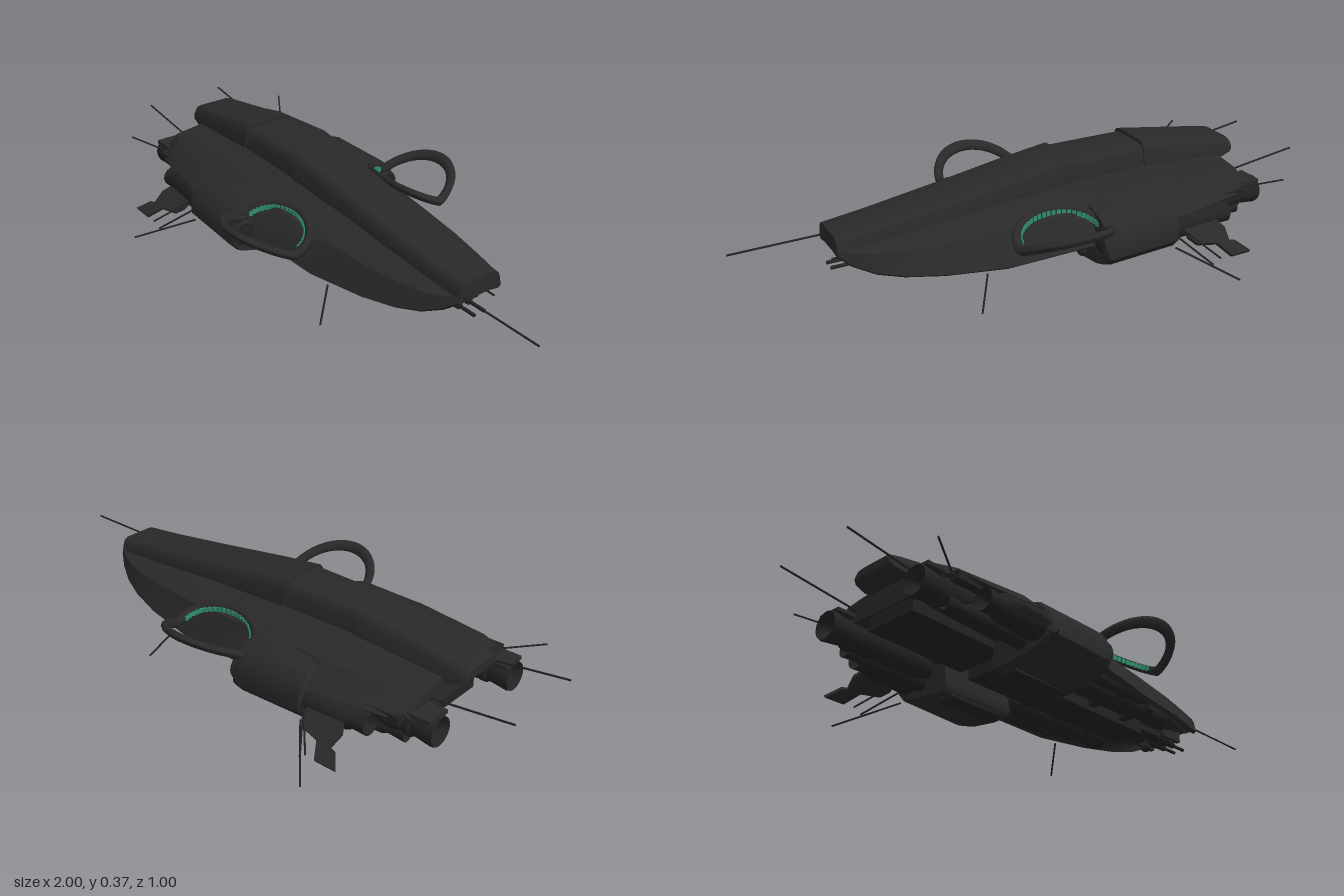
import * as THREE from 'three';
import { toCreasedNormals } from 'three/addons/utils/BufferGeometryUtils.js';

const hullMat = new THREE.MeshStandardMaterial({ color: 0x292929 });
hullMat.name = 'hull charcoal';
const darkMat = new THREE.MeshStandardMaterial({ color: 0x222222 });
darkMat.name = 'machinery black';
const glowMat = new THREE.MeshStandardMaterial({ color: 0x2f8f6a });
glowMat.name = 'ring green';

const mirrorHalf = (half) => [...half, ...half.slice(1, -1).reverse().map(([z, y]) => [-z, y])];
const flip = (loop) => loop.map(([z, y]) => [-z, y]).reverse();

// Closed skin over loops of [z, y] placed at rising x, capped at both ends
function loft(xs, loops) {
  const n = loops[0].length, pos = [], idx = [];
  loops.forEach((l, i) => l.forEach(([z, y]) => pos.push(xs[i], y, z)));
  for (let i = 0; i < loops.length - 1; i++) {
    for (let j = 0; j < n; j++) {
      const a = i * n + j, b = i * n + (j + 1) % n;
      idx.push(a, b, a + n, b, b + n, a + n);
    }
  }
  [0, loops.length - 1].forEach((i) => {
    const c = pos.length / 3, l = loops[i];
    pos.push(xs[i], l.reduce((s, p) => s + p[1], 0) / n, l.reduce((s, p) => s + p[0], 0) / n);
    for (let j = 0; j < n; j++) {
      const a = i * n + j, b = i * n + (j + 1) % n;
      if (i) idx.push(c, a, b); else idx.push(c, b, a);
    }
  });
  const g = new THREE.BufferGeometry();
  g.setAttribute('position', new THREE.Float32BufferAttribute(pos, 3));
  g.setIndex(idx);
  return toCreasedNormals(g, 0.6);
}

export function createModel() {
  const ship = new THREE.Group();
  ship.name = 'spaceship';
  const add = (name, geo, mat, x = 0, y = 0, z = 0) => {
    const m = new THREE.Mesh(geo, mat);
    m.name = name;
    m.position.set(x, y, z);
    ship.add(m);
    return m;
  };
  const box = (name, mat, x, y, z, w, h, d) => add(name, new THREE.BoxGeometry(w, h, d), mat, x, y, z);
  // Lathe along x: profile of [x, radius]
  const turned = (name, mat, pts, y, z, sides = 20) => {
    const g = new THREE.LatheGeometry(pts.map(([x, r]) => new THREE.Vector2(r, x)), sides);
    return add(name, toCreasedNormals(g.rotateZ(-Math.PI / 2), 0.6), mat, 0, y, z);
  };
  const rod = (name, a, b, r = 0.0032) => {
    const p = new THREE.Vector3(...a), q = new THREE.Vector3(...b), d = q.clone().sub(p);
    const m = add(name, new THREE.CylinderGeometry(r, r, d.length(), 6), darkMat);
    m.position.copy(p).add(q).multiplyScalar(0.5);
    m.quaternion.setFromUnitVectors(new THREE.Vector3(0, 1, 0), d.normalize());
  };

  // Main hull draped over the machinery: x, shoulder y, edge z, edge y, underside y
  const hull = [
    [-0.72, 0.265, 0.25, 0.2, 0.185], [-0.66, 0.27, 0.285, 0.2, 0.18], [-0.4, 0.29, 0.32, 0.19, 0.165],
    [-0.1, 0.288, 0.28, 0.14, 0.155], [0.2, 0.268, 0.25, 0.12, 0.15], [0.4, 0.247, 0.215, 0.13, 0.15],
    [0.52, 0.235, 0.18, 0.14, 0.158], [0.6, 0.228, 0.148, 0.155, 0.172], [0.66, 0.222, 0.115, 0.18, 0.19],
    [0.7, 0.218, 0.085, 0.208, 0.206],
  ];
  add('mainHull', loft(hull.map((h) => h[0]), hull.map(([, ys, ze, ye, yb]) => {
    const zs = Math.min(0.1, ze * 0.8);
    return mirrorHalf([[0, ys + 0.01], [zs, ys], [zs + 0.65 * (ze - zs), ys * 0.6 + ye * 0.4 + 0.014],
      [ze, ye], [ze - 0.01, ye - 0.008], [zs + 0.6 * (ze - zs), yb], [zs * 0.9, yb], [0, yb]]);
  })), hullMat);

  // Raised spine in three sections: x, top y, base y, half width
  const spine = (name, st) => add(name, loft(st.map((s) => s[0]), st.map(([, t, b, w]) => {
    const h = t - b;
    return mirrorHalf([[0, t], [w * 0.64, t], [w * 0.76, t - h * 0.05], [w * 0.85, t - h * 0.18], [w * 0.91, t - h * 0.38],
      [w, b + 0.004], [w, b], [0, b]]);
  })), hullMat);
  spine('rearSpine', [[-0.79, 0.3, 0.275, 0.08], [-0.78, 0.312, 0.265, 0.086], [-0.74, 0.32, 0.255, 0.092], [-0.4, 0.373, 0.28, 0.104]]);
  spine('middleSpine', [[-0.4, 0.361, 0.28, 0.1], [-0.11, 0.364, 0.28, 0.101]]);
  spine('frontSpine', [[-0.11, 0.373, 0.28, 0.105], [0.05, 0.352, 0.272, 0.103], [0.3, 0.314, 0.25, 0.098], [0.55, 0.28, 0.226, 0.091], [0.7, 0.265, 0.208, 0.084]]);

  // Frame, sensor and gun slung under the nose
  box('noseIntake', darkMat, 0.6, 0.185, 0, 0.1, 0.06, 0.09);
  for (const s of [1, -1]) {
    box('noseFrameSide', hullMat, 0.57, 0.165, s * 0.06, 0.1, 0.06, 0.016);
    turned('noseCannon', darkMat, [[0.5, 0], [0.5, 0.013], [0.64, 0.012], [0.64, 0.006], [0.705, 0.006], [0.705, 0]], 0.142, s * 0.02, 10);
  }
  box('gunMount', darkMat, 0.54, 0.15, 0, 0.14, 0.025, 0.08);
  add('turretBall', new THREE.SphereGeometry(0.018, 16, 12), darkMat, 0.5, 0.1, 0);
  rod('turretPost', [0.5, 0.1, 0], [0.5, 0.15, 0], 0.007);
  rod('noseAntenna', [0.66, 0.22, 0.065], [1, 0.22, 0.065]);
  rod('noseProbe', [0.6, 0.19, -0.05], [0.71, 0.188, -0.05]);

  // Central keel with cross ribs
  box('keel', darkMat, 0.03, 0.13, 0, 0.72, 0.055, 0.13);
  box('frontKeel', darkMat, 0.45, 0.145, 0, 0.14, 0.03, 0.1);
  box('rearKeel', darkMat, -0.52, 0.175, 0, 0.38, 0.07, 0.2);
  for (const x of [-0.04, 0.12, 0.28]) box('keelRib', darkMat, x, 0.135, 0, 0.03, 0.035, 0.4);

  const podLoop = (k, drop) => [[0.12, 0.26], [0.24, 0.252], [0.3, 0.228], [0.33, 0.2], [0.35, 0.155], [0.347, 0.11],
    [0.32, 0.08], [0.27, 0.063], [0.17, 0.05], [0.105, 0.05], [0.095, 0.065], [0.095, 0.1]]
    .map(([z, y]) => [0.2 + (z - 0.2) * k, 0.15 + (y - 0.15) * k + drop]);

  for (const s of [1, -1]) {
    const side = (loop) => (s > 0 ? loop : flip(loop));

    // Side pod with intake and sensors on its front
    add('sidePod', loft([-0.39, -0.38, -0.13, -0.11], [podLoop(0.9, 0.004), podLoop(0.96, 0.004), podLoop(1, 0), podLoop(0.96, 0)].map(side)), hullMat);
    add('podIntakeRim', new THREE.TorusGeometry(0.036, 0.009, 8, 24).rotateY(Math.PI / 2), hullMat, -0.105, 0.15, s * 0.3);
    turned('podIntake', darkMat, [[-0.13, 0], [-0.13, 0.034], [-0.1, 0.03], [-0.09, 0]], 0.15, s * 0.3);
    for (const z of [0.12, 0.19]) add('podSensor', new THREE.SphereGeometry(0.019, 14, 10), darkMat, -0.105, 0.08, s * z);
    box('podBellyPlate', darkMat, -0.25, 0.053, s * 0.14, 0.22, 0.008, 0.07);

    // Underside tanks
    turned('bellyTank', darkMat, [[-0.12, 0], [-0.12, 0.045], [0.24, 0.045], [0.26, 0.038], [0.34, 0.036], [0.36, 0.042], [0.4, 0.042], [0.4, 0.032], [0.38, 0.028], [0.38, 0]], 0.142, s * 0.14);
    turned('outerPipe', darkMat, [[-0.1, 0], [-0.1, 0.024], [0.2, 0.024], [0.24, 0.012], [0.24, 0]], 0.135, s * 0.212, 14);

    // Main engine with flared nozzle
    turned('mainEngine', darkMat, [[-0.7, 0], [-0.7, 0.045], [-0.66, 0.052], [-0.45, 0.055], [-0.38, 0.04], [-0.38, 0]], 0.165, s * 0.2);
    turned('mainNozzle', darkMat, [[-0.73, 0], [-0.785, 0.036], [-0.795, 0.047], [-0.785, 0.05], [-0.72, 0.042], [-0.71, 0.05], [-0.69, 0.05], [-0.69, 0]], 0.165, s * 0.2);
    box('nozzleFairing', hullMat, -0.745, 0.21, s * 0.2, 0.08, 0.012, 0.09);
    box('engineBracket', darkMat, -0.6, 0.195, s * 0.25, 0.2, 0.03, 0.06);

    // Outer engine behind the pod
    turned('outerEngine', darkMat, [[-0.55, 0], [-0.6, 0.03], [-0.61, 0.036], [-0.56, 0.034], [-0.54, 0.045], [-0.36, 0.052], [-0.36, 0]], 0.15, s * 0.285);
    turned('lowerThruster', darkMat, [[-0.67, 0], [-0.7, 0.024], [-0.64, 0.02], [-0.62, 0.028], [-0.36, 0.034], [-0.36, 0]], 0.125, s * 0.225, 14);

    // Swept fin sloping down and outward
    const pts = [[-0.41, -0.02], [-0.41, 0.045], [-0.43, 0.075], [-0.5, 0.09], [-0.53, 0.146], [-0.605, 0.146], [-0.57, 0.095], [-0.55, 0.09], [-0.56, 0.04], [-0.53, -0.02]];
    const fin = add('fin', new THREE.ExtrudeGeometry(new THREE.Shape(pts.map((p) => new THREE.Vector2(...p))), { depth: 0.012, bevelEnabled: false }).translate(0, 0, -0.006), hullMat, 0, 0.15, s * 0.32);
    fin.rotation.x = s * 2.18;

    // Wing ring: shallow arc along the hull, full arc rising outward
    const ringY = (z) => 0.196 + Math.abs(z - 0.3) * 0.48;
    const squash = (z) => (z < 0 ? z * 0.62 : z);
    const ring = new THREE.TorusGeometry(0.154, 0.016, 10, 64).rotateX(Math.PI / 2);
    const p = ring.attributes.position;
    for (let i = 0; i < p.count; i++) {
      const z = squash(p.getZ(i) * s);
      p.setY(i, p.getY(i) + ringY(z + 0.28));
      p.setZ(i, z * s);
    }
    ring.computeVertexNormals();
    add('wingRing', ring, hullMat, 0.03, 0, s * 0.28);

    // Green light cells on the ring's inner wall
    for (let i = 0; i <= 22; i++) {
      const a = Math.PI + 0.1 + (i / 22) * (Math.PI - 0.2);
      const z = 0.28 + squash(Math.sin(a) * 0.136);
      const cell = box('ringLight', glowMat, 0.03 + Math.cos(a) * 0.136, ringY(z) + 0.001, s * z, 0.004, 0.016, 0.013);
      cell.rotation.y = -s * Math.atan2(Math.sin(a), Math.cos(a) * 0.62);
    }

    // Antennas
    rod('rearAntenna', [-0.68, 0.218, s * 0.148], [-1, 0.26, s * 0.153]);
    rod('sideAntenna', [-0.68, 0.2, s * 0.24], [-0.825, 0.237, s * 0.328]);
    rod('longWhisker', [-0.38, 0.085, s * 0.33], [-0.525, 0.005, s * 0.498]);
    rod('shortWhisker', [-0.39, 0.12, s * 0.33], [-0.465, 0.045, s * 0.43]);
    rod('finWhisker', [-0.4, 0.15, s * 0.34], [-0.49, 0.065, s * 0.435]);
    rod('frontWhisker', [0.27, 0.11, s * 0.235], [0.325, 0.017, s * 0.305]);
  }
  return ship;
}
